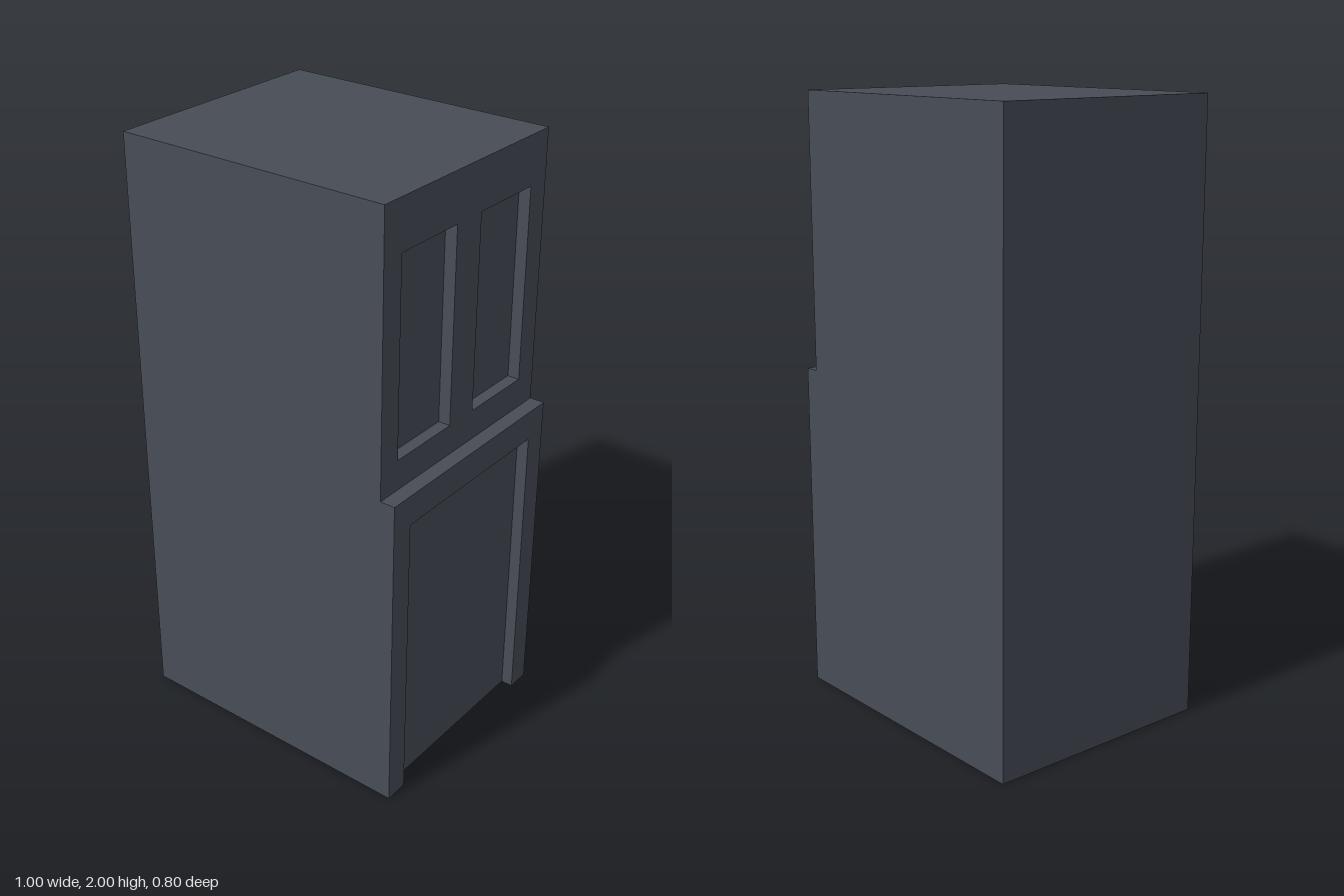
import * as THREE from 'three';

const HALF = 0.4;      // half width along z
const BACK = -0.5;     // plain end wall
const UPPER = 0.45;    // upper panelled wall
const LOWER = 0.5;     // lower wall with the doorway
const LEDGE = 1.1;
const TOP = 2;
const DEPTH = 0.04;    // depth of the recesses

export function createModel() {
  const group = new THREE.Group();
  group.name = 'panelledBlock';
  const slate = new THREE.MeshStandardMaterial({ color: 0x484d56, side: THREE.DoubleSide });
  slate.name = 'slate';

  const add = (name, geometry, parent = group) => {
    const mesh = new THREE.Mesh(geometry, slate);
    mesh.name = name;
    parent.add(mesh);
    return mesh;
  };

  // Flat four-cornered sheet, corners counter-clockwise from outside
  const quad = (corners) => {
    const g = new THREE.BufferGeometry();
    g.setAttribute('position', new THREE.Float32BufferAttribute(corners.flat(), 3));
    g.setIndex([0, 1, 2, 0, 2, 3]);
    g.computeVertexNormals();
    return g;
  };

  const polygon = (points) => new THREE.Shape(points.map(([a, b]) => new THREE.Vector2(a, b)));
  const rect = (a0, a1, b0, b1) => polygon([[a0, b0], [a1, b0], [a1, b1], [a0, b1]]);

  // Stepped side walls, one turned to face backwards
  const profile = [[BACK, 0], [LOWER, 0], [LOWER, LEDGE], [UPPER, LEDGE], [UPPER, TOP], [BACK, TOP]];
  add('frontWall', new THREE.ShapeGeometry(polygon(profile))).position.z = HALF;
  const rear = add('backWall', new THREE.ShapeGeometry(polygon(profile.map(([x, y]) => [-x, y]))));
  rear.rotation.y = Math.PI;
  rear.position.z = -HALF;

  // End wall, roof and ledge; the underside is open
  add('endWall', quad([[BACK, 0, -HALF], [BACK, 0, HALF], [BACK, TOP, HALF], [BACK, TOP, -HALF]]));
  const deck = (name, x0, x1, y) =>
    add(name, quad([[x0, y, HALF], [x1, y, HALF], [x1, y, -HALF], [x0, y, -HALF]]));
  deck('roof', BACK, UPPER, TOP);
  deck('ledge', UPPER, LOWER, LEDGE);

  // Upper wall pierced by two panels, lower wall cut by the doorway
  const panels = [[-0.32, -0.06], [0.06, 0.32]];
  const upper = rect(-HALF, HALF, LEDGE, TOP);
  panels.forEach(([a, b]) => upper.holes.push(rect(a, b, 1.2, 1.84)));
  const lower = polygon([
    [-HALF, 0], [-0.32, 0], [-0.32, 1], [0.32, 1],
    [0.32, 0], [HALF, 0], [HALF, LEDGE], [-HALF, LEDGE],
  ]);
  [['upperWall', upper, UPPER], ['doorSurround', lower, LOWER]].forEach(([name, shape, x]) => {
    const wall = add(name, new THREE.ShapeGeometry(shape));
    wall.rotation.y = Math.PI / 2;
    wall.position.x = x;
  });

  // Recess: inset panel with jambs, head and optional sill
  const recess = (name, x, z0, z1, y0, y1, hasSill) => {
    const part = new THREE.Group();
    part.name = name;
    group.add(part);
    const i = x - DEPTH;
    add('panel', quad([[i, y0, z1], [i, y0, z0], [i, y1, z0], [i, y1, z1]]), part);
    add('rearJamb', quad([[i, y0, z0], [x, y0, z0], [x, y1, z0], [i, y1, z0]]), part);
    add('frontJamb', quad([[x, y0, z1], [i, y0, z1], [i, y1, z1], [x, y1, z1]]), part);
    add('head', quad([[i, y1, z0], [x, y1, z0], [x, y1, z1], [i, y1, z1]]), part);
    if (hasSill) add('sill', quad([[i, y0, z1], [x, y0, z1], [x, y0, z0], [i, y0, z0]]), part);
  };
  panels.forEach(([a, b], n) => recess(n ? 'frontPanel' : 'rearPanel', UPPER, a, b, 1.2, 1.84, true));
  recess('doorway', LOWER, -0.32, 0.32, 0, 1, false);

  return group;
}
